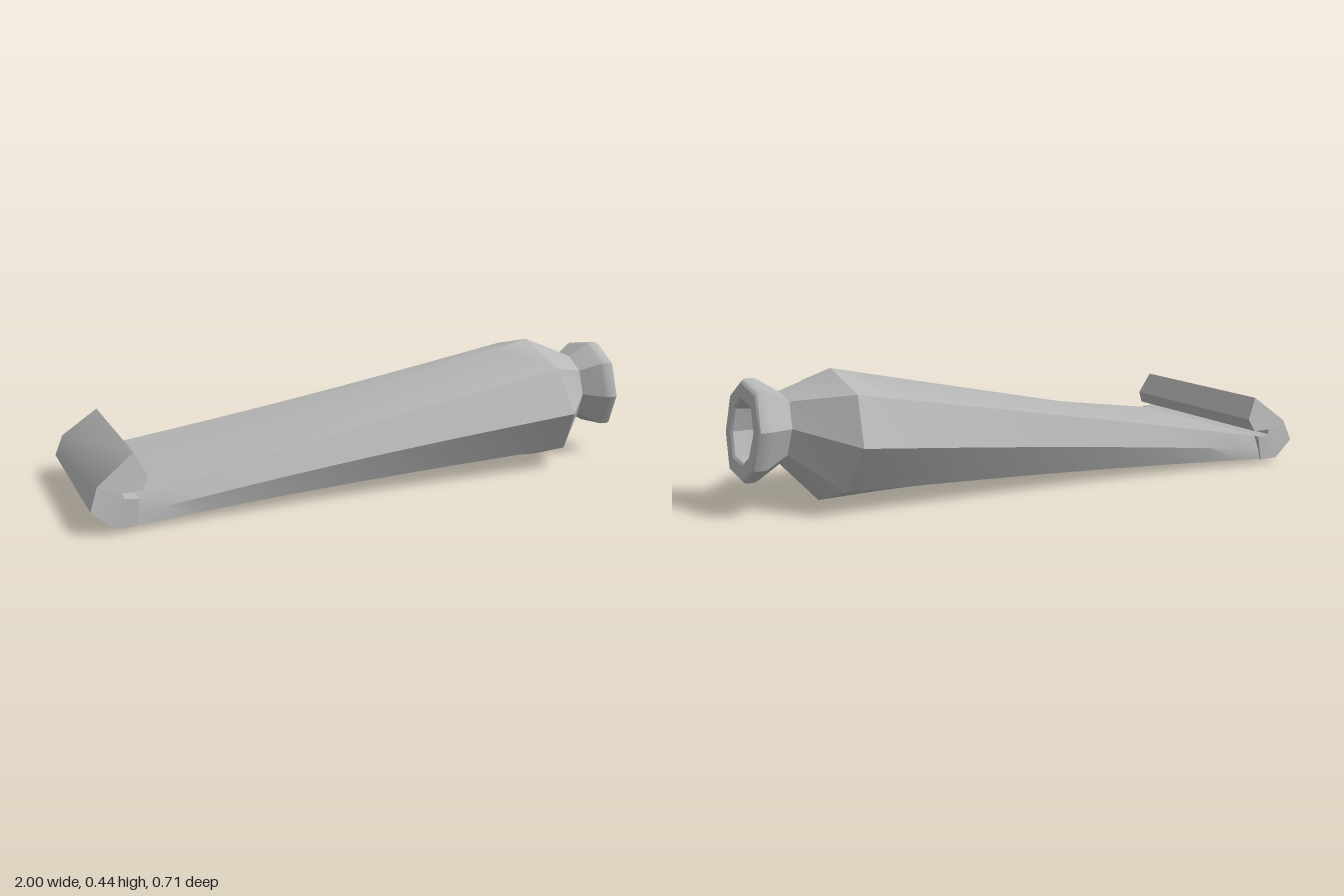
import * as THREE from 'three';
import { toCreasedNormals } from 'three/addons/utils/BufferGeometryUtils.js';

// Skin a list of equal-length rings, each point [x, y, z]
function loft(rings) {
  const n = rings[0].length;
  const index = [];
  for (let r = 0; r < rings.length - 1; r++) {
    for (let i = 0; i < n; i++) {
      const j = (i + 1) % n;
      const a = r * n + i, b = r * n + j, c = a + n, d = b + n;
      index.push(a, c, b, b, c, d);
    }
  }
  const g = new THREE.BufferGeometry();
  g.setAttribute('position', new THREE.Float32BufferAttribute(rings.flat(2), 3));
  g.setIndex(index);
  return toCreasedNormals(g, 0.5);
}

// Cross-sections as [z, y], clockwise seen from the nozzle end
const TAIL = [[0, 0.095], [-0.33, 0.095], [-0.345, 0.05], [-0.35, 0.015],
  [0, 0.015], [0.35, 0.015], [0.345, 0.05], [0.33, 0.095]];
const SHOULDER = [[-0.025, 0.437], [-0.25, 0.385], [-0.325, 0.232], [-0.22, 0.075],
  [0, 0], [0.21, 0.075], [0.3, 0.22], [0.205, 0.365]];
const RIM = [[0.035, 0.417], [-0.11, 0.393], [-0.172, 0.28], [-0.135, 0.155],
  [-0.05, 0.1], [0.085, 0.115], [0.15, 0.23], [0.13, 0.355]];
const CZ = -0.01, CY = 0.257;

// Rim outline scaled about its centre, on a slightly tilted plane
const rimRing = (x, s) => RIM.map(([z, y]) => {
  const dy = (y - CY) * s;
  return [x - dy * 0.115, CY + dy, CZ + (z - CZ) * s];
});

export function createModel() {
  const group = new THREE.Group();
  const metal = new THREE.MeshStandardMaterial({ color: 0xb8b8b8 });
  metal.name = 'grey';
  metal.side = THREE.DoubleSide;

  const add = (name, geometry) => {
    const mesh = new THREE.Mesh(geometry, metal);
    mesh.name = name;
    group.add(mesh);
  };

  // Squeezed body: flat tail swelling to an eight-sided shoulder, waisted midway
  const steps = 14;
  const rings = [];
  for (let k = 0; k <= steps; k++) {
    const t = k / steps;
    const waist = 1 - 0.11 * Math.sin(Math.PI * t);
    rings.push(TAIL.map(([z0, y0], i) => {
      const [z1, y1] = SHOULDER[i];
      const y = y0 + (y1 - y0) * t;
      const x = -0.88 + 1.59 * t - (y - 0.22) * 0.1 * t;
      return [x, y, (z0 + (z1 - z0) * t) * waist];
    }));
  }
  rings.push(rimRing(0.862, 0.7));
  add('body', loft(rings));

  // Flared nozzle with rounded rim and tapering bore
  add('nozzle', loft([
    rimRing(0.855, 0.68), rimRing(0.866, 0.72), rimRing(0.932, 0.97),
    rimRing(0.942, 1), rimRing(0.97, 1), rimRing(0.979, 0.975), rimRing(0.984, 0.93),
    rimRing(0.984, 0.66), rimRing(0.978, 0.61), rimRing(0.9, 0.53), rimRing(0.78, 0.02),
  ]));

  // Folded tail end: hooked profile, narrowing towards the top of the fold
  const profile = [[-0.93, 0.015], [-0.86, 0.015], [-0.85, 0.1], [-0.895, 0.105],
    [-0.9, 0.122], [-0.835, 0.122], [-0.815, 0.165], [-0.855, 0.24],
    [-0.975, 0.148], [-1, 0.075]];
  const shape = new THREE.Shape(profile.map(([x, y]) => new THREE.Vector2(x, y)));
  const fold = new THREE.ExtrudeGeometry(shape, { depth: 2, bevelEnabled: false });
  fold.translate(0, 0, -1);
  const p = fold.attributes.position;
  for (let i = 0; i < p.count; i++) {
    const x = p.getX(i), y = p.getY(i);
    const half = 0.357 - 0.05 * Math.max(0, x + 0.93) - 0.22 * Math.max(0, y - 0.08);
    p.setZ(i, p.getZ(i) * half);
  }
  add('foldedEnd', toCreasedNormals(fold, 0.75));

  return group;
}
